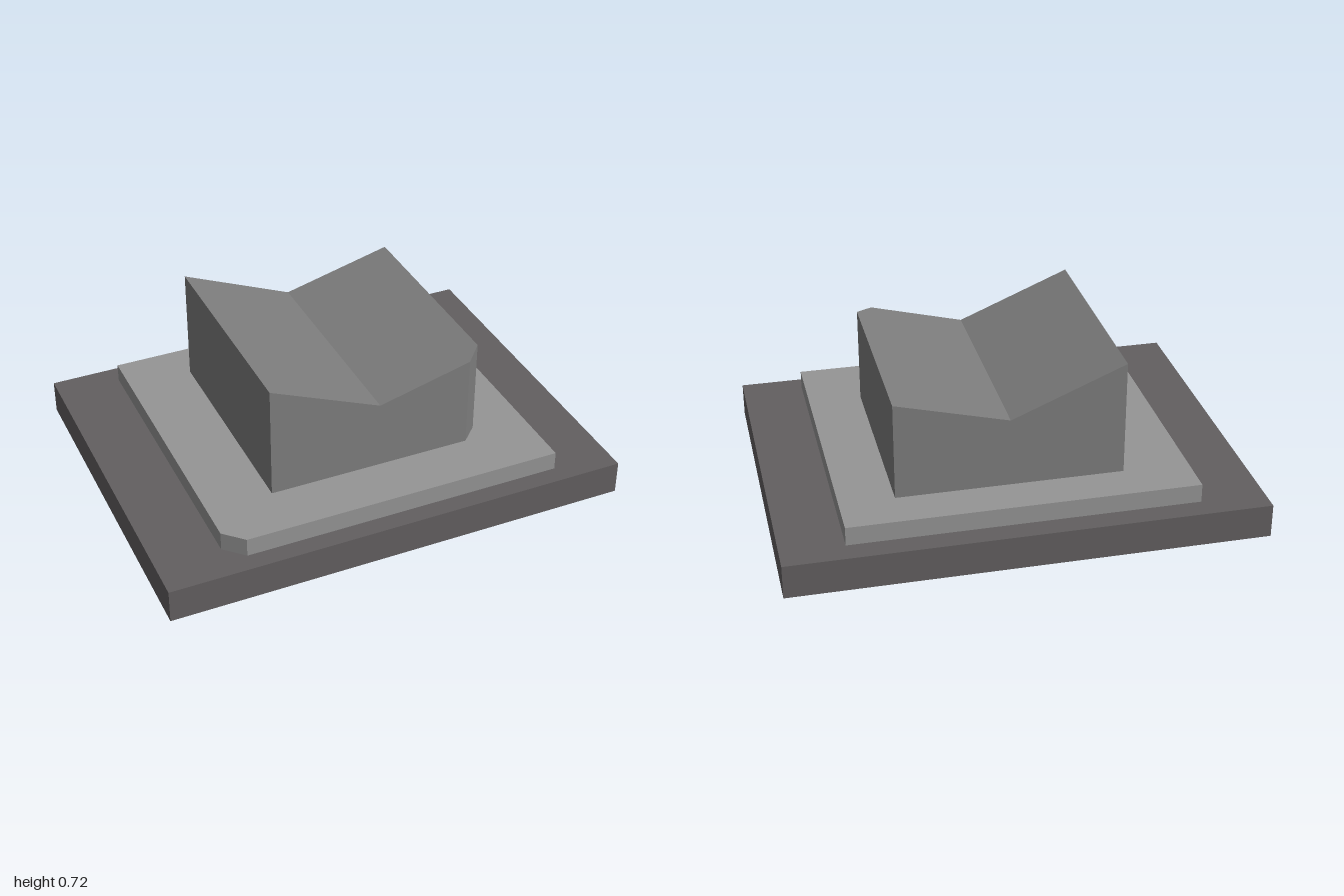
import * as THREE from 'three';

// Upright prism over an [x, z] outline; the top height may vary with x.
function prism(name, color, outline, bottom, topAt) {
  const shape = new THREE.Shape(outline.map(([x, z]) => new THREE.Vector2(x, -z)));
  const geometry = new THREE.ExtrudeGeometry(shape, { depth: 1, bevelEnabled: false });
  geometry.rotateX(-Math.PI / 2);
  const p = geometry.attributes.position;
  for (let i = 0; i < p.count; i++) p.setY(i, p.getY(i) > 0.5 ? topAt(p.getX(i)) : bottom);
  geometry.computeVertexNormals();
  const mesh = new THREE.Mesh(geometry, new THREE.MeshStandardMaterial({ color, flatShading: true }));
  mesh.name = name;
  return mesh;
}

export function createModel() {
  const model = new THREE.Group();
  model.name = 'steppedPedestal';

  // Wide base plate
  model.add(prism('basePlate', 0x625f60,
    [[-1, 0.77], [1, 0.77], [1, -0.77], [-1, -0.77]], 0, () => 0.145));

  // Thin slab with one clipped front corner
  model.add(prism('slab', 0x959595,
    [[-0.725, 0.612], [-0.645, 0.69], [0.737, 0.69], [0.737, -0.675], [-0.725, -0.675]],
    0.145, () => 0.225));

  // Notched block: two sloping halves meeting in a valley
  const valley = 0.033, left = 0.508, right = -0.445, front = 0.46, back = -0.497;
  const topAt = x => x < valley
    ? THREE.MathUtils.mapLinear(x, right, valley, 0.718, 0.52)
    : THREE.MathUtils.mapLinear(x, valley, left, 0.52, 0.642);
  const block = new THREE.Group();
  block.name = 'notchedBlock';
  block.add(
    prism('rightHalf', 0x7d7d7d,
      [[right, front], [valley, front], [valley, back], [right, back]], 0.225, topAt),
    prism('leftHalf', 0x7d7d7d,
      [[valley, front], [0.435, front], [left, 0.387], [left, back], [valley, back]], 0.225, topAt));
  model.add(block);

  return model;
}
